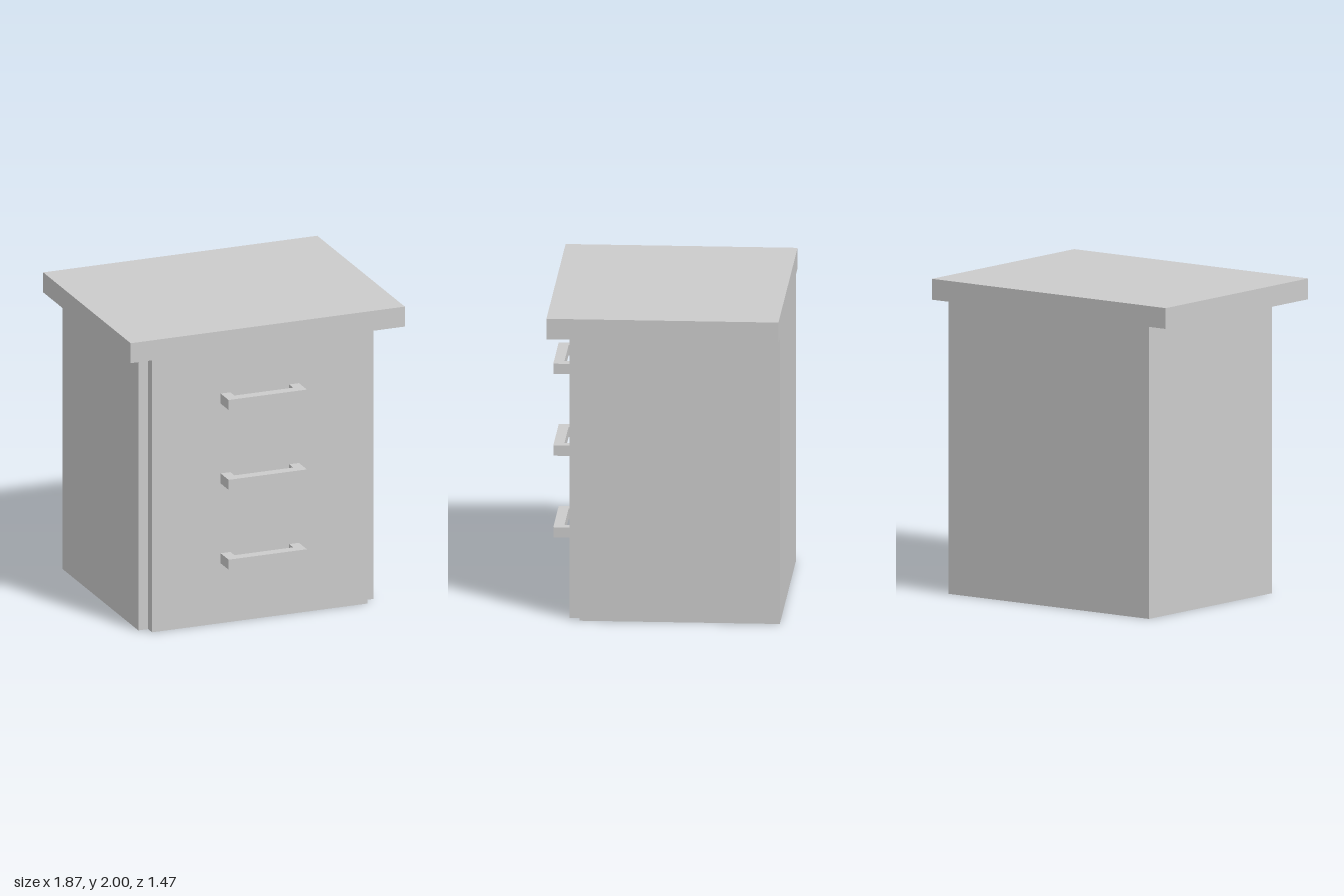
import * as THREE from 'three';

const material = new THREE.MeshStandardMaterial({ color: 0xcccccc, flatShading: true });

// Box given by its minimum and maximum corners
function box(name, [x0, y0, z0], [x1, y1, z1]) {
  const mesh = new THREE.Mesh(new THREE.BoxGeometry(x1 - x0, y1 - y0, z1 - z0), material);
  mesh.position.set((x0 + x1) / 2, (y0 + y1) / 2, (z0 + z1) / 2);
  mesh.name = name;
  return mesh;
}

// U-shaped pull extruded upwards: a bar with a leg at each end
function handleGeometry(halfWidth, depth, thickness, height) {
  const inner = halfWidth - thickness;
  const shape = new THREE.Shape([
    [-halfWidth, 0], [-inner, 0], [-inner, -(depth - thickness)], [inner, -(depth - thickness)],
    [inner, 0], [halfWidth, 0], [halfWidth, -depth], [-halfWidth, -depth],
  ].map(([x, y]) => new THREE.Vector2(x, y)));
  return new THREE.ExtrudeGeometry(shape, { depth: height, bevelEnabled: false }).rotateX(-Math.PI / 2);
}

export function createModel() {
  const model = new THREE.Group();
  model.name = 'drawerCabinet';

  // Carcass, raised front panel and overhanging top
  model.add(box('cabinetBody', [-0.8, 0, -0.7333], [0.8, 1.8667, 0.5333]));
  model.add(box('frontPanel', [-0.7333, 0, 0.5333], [0.7333, 1.8667, 0.6]));
  model.add(box('topBoard', [-0.9333, 1.8667, -0.7333], [0.9333, 2, 0.7333]));

  // Three drawer handles
  const geometry = handleGeometry(0.2667, 0.1333, 0.0667, 0.0667);
  ['lowerHandle', 'middleHandle', 'upperHandle'].forEach((name, i) => {
    const handle = new THREE.Mesh(geometry, material);
    handle.name = name;
    handle.position.set(0, 0.4 + i * 0.5333, 0.6);
    model.add(handle);
  });

  return model;
}
